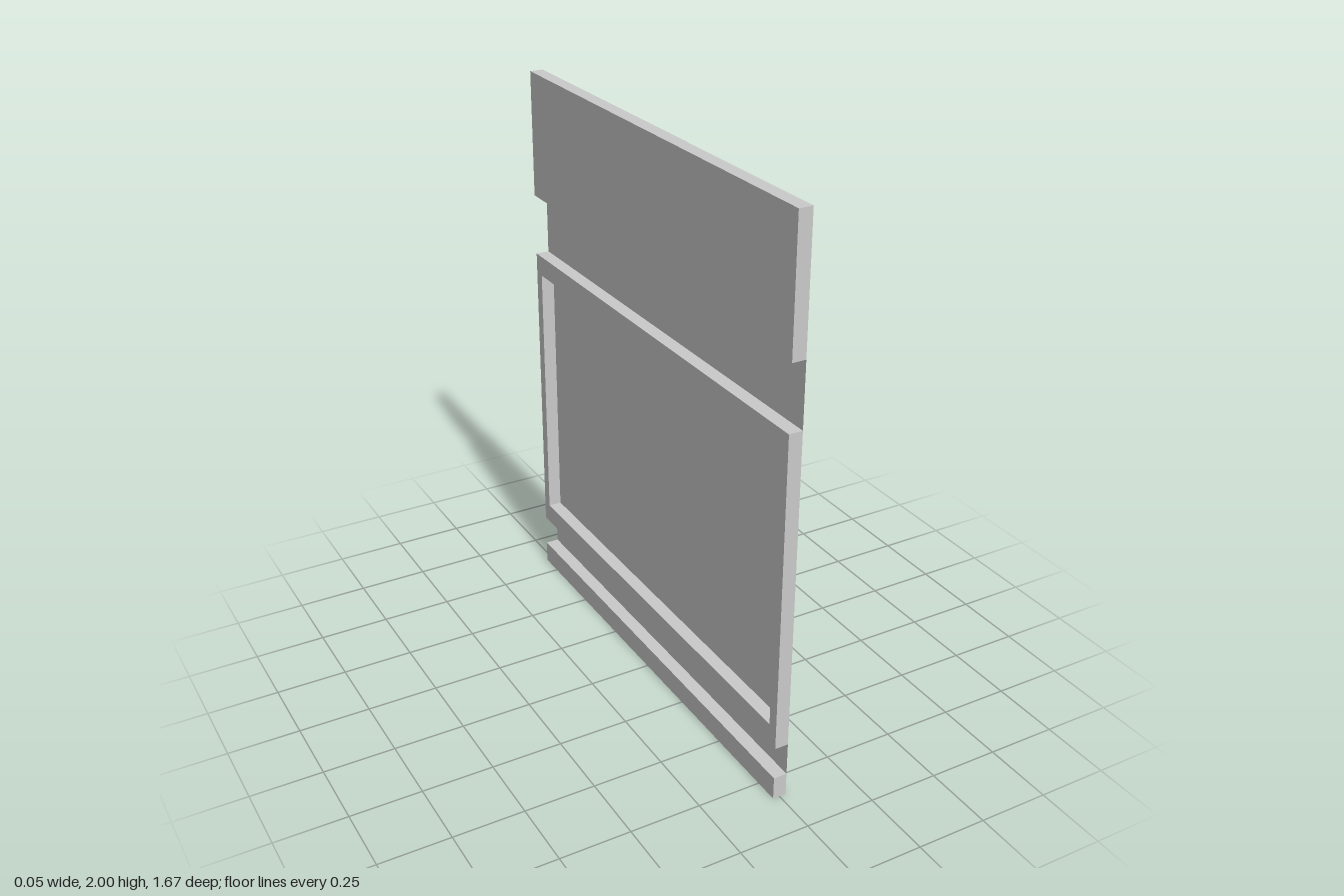
import * as THREE from 'three';

// Pressed sheet panel: one thin skin stepping between two planes
const T = 0.024;   // half depth in x
const W = 0.837;   // half width in z
const IW = 0.799;  // half width of the raised centre field

export function createModel() {
  const model = new THREE.Group();
  model.name = 'pressedPanel';
  const mat = new THREE.MeshStandardMaterial({ color: 0xcccccc, side: THREE.DoubleSide });

  const add = (name, geo, x, y, z) => {
    const mesh = new THREE.Mesh(geo, mat);
    mesh.name = name;
    mesh.position.set(x, y, z);
    model.add(mesh);
  };
  // Upright sheet facing +x
  const panel = (name, x, y0, y1, half = W) =>
    add(name, new THREE.PlaneGeometry(2 * half, y1 - y0).rotateY(Math.PI / 2), x, (y0 + y1) / 2, 0);
  // Level strip joining the two planes
  const ledge = (name, y, half = W) =>
    add(name, new THREE.PlaneGeometry(2 * T, 2 * half).rotateX(-Math.PI / 2), 0, y, 0);
  // Pair of upright strips closing the sides
  const sides = (name, y0, y1, half = W) => {
    for (const s of [1, -1])
      add(name + (s > 0 ? 'Front' : 'Back'), new THREE.PlaneGeometry(2 * T, y1 - y0), 0, (y0 + y1) / 2, s * half);
  };

  // Levels from the bottom edge to the top edge
  const y = { base: 0, grooveLow: 0.082, frameLow: 0.2, fieldLow: 0.273, fieldTop: 1.249, frameTop: 1.323, grooveTop: 1.547, top: 2 };

  // Bottom and top bands
  panel('bottomBand', -T, y.base, y.grooveLow);
  sides('bottomBandSide', y.base, y.grooveLow);
  panel('topBand', -T, y.grooveTop, y.top);
  sides('topBandSide', y.grooveTop, y.top);

  // Grooves between the bands, open at their ends
  panel('lowerGroove', T, y.grooveLow, y.frameLow);
  panel('upperGroove', T, y.frameTop, y.grooveTop);

  // Steps and outer edges
  for (const [name, h] of [['bottomEdge', y.base], ['lowerGrooveBottomStep', y.grooveLow], ['lowerGrooveTopStep', y.frameLow],
    ['upperGrooveBottomStep', y.frameTop], ['upperGrooveTopStep', y.grooveTop], ['topEdge', y.top]]) ledge(name, h);

  // Frame around the centre field
  const rect = (P, h, a, b) => {
    const p = new P();
    p.moveTo(-h, a).lineTo(h, a).lineTo(h, b).lineTo(-h, b).closePath();
    return p;
  };
  const frame = rect(THREE.Shape, W, y.frameLow, y.frameTop);
  frame.holes.push(rect(THREE.Path, IW, y.fieldLow, y.fieldTop));
  add('centreFrame', new THREE.ShapeGeometry(frame).rotateY(Math.PI / 2), -T, 0, 0);
  sides('centreFrameSide', y.frameLow, y.frameTop);

  // Centre field, raised toward +x
  panel('centreField', T, y.fieldLow, y.fieldTop, IW);
  sides('centreFieldSide', y.fieldLow, y.fieldTop, IW);
  ledge('centreFieldBottom', y.fieldLow, IW);
  ledge('centreFieldTop', y.fieldTop, IW);

  return model;
}
